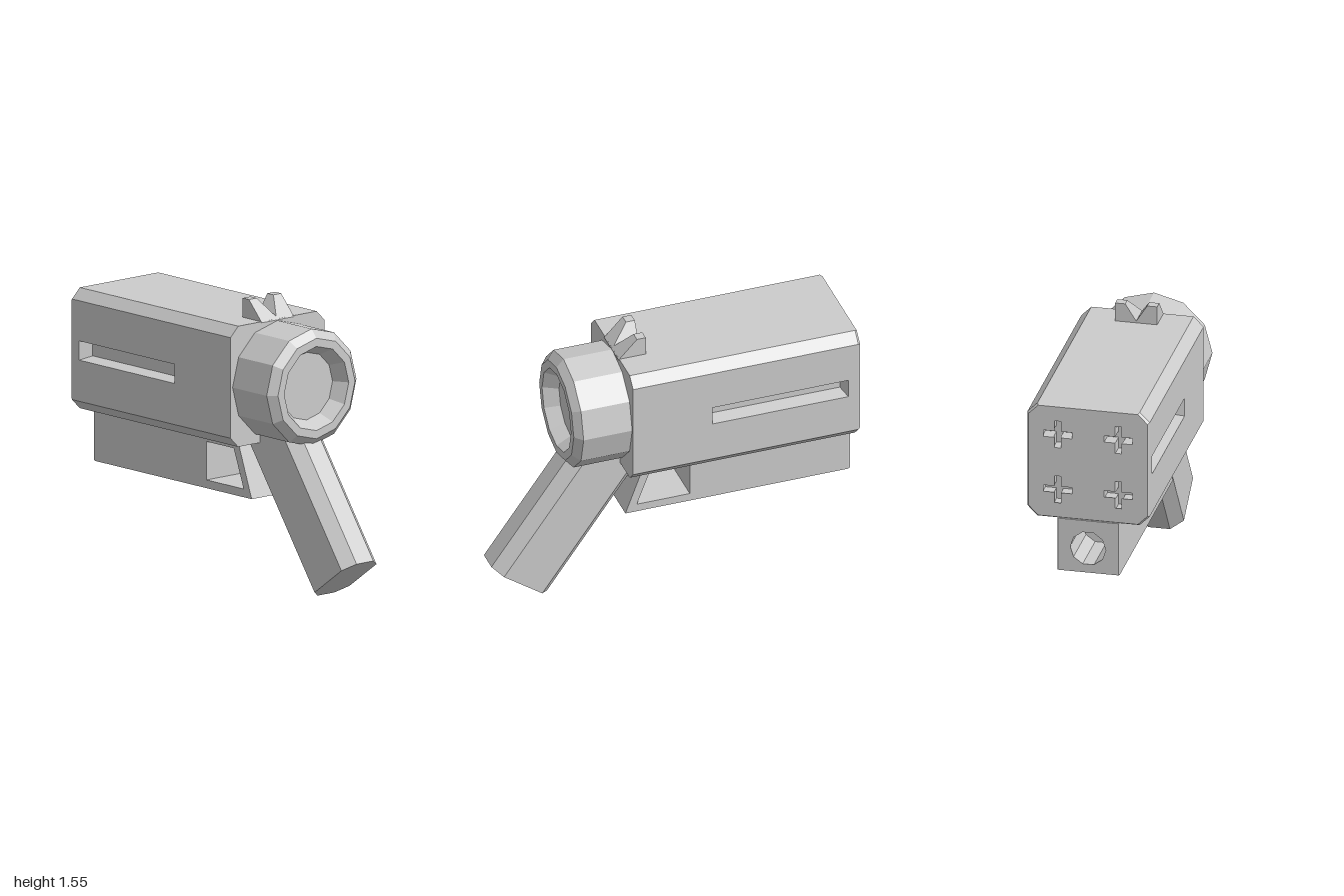
import * as THREE from 'three';

const material = new THREE.MeshStandardMaterial({ color: 0xcccccc, flatShading: true });
const AXIS_Y = 1.115; // height of the body and barrel axis

function polygon(points, Type = THREE.Shape) {
  return new Type(points.map(([x, y]) => new THREE.Vector2(x, y)));
}

function extrude(shape, depth) {
  return new THREE.ExtrudeGeometry(shape, { depth, bevelEnabled: false });
}

// Extrude a (z, y) cross-section from x0 to x1
function alongX(shape, x0, x1) {
  return extrude(shape, x1 - x0).rotateY(Math.PI / 2).translate(x0, 0, 0);
}

// Move vertices by a rule
function reshape(geometry, rule) {
  const p = geometry.attributes.position;
  const v = new THREE.Vector3();
  for (let i = 0; i < p.count; i++) {
    v.fromBufferAttribute(p, i);
    rule(v);
    p.setXYZ(i, v.x, v.y, v.z);
  }
  geometry.computeVertexNormals();
  return geometry;
}

// Shrink the rear face a little to form a narrow bevel
function bevelRear(geometry, centreY, amount) {
  return reshape(geometry, v => {
    if (v.x < -0.995) {
      v.z *= amount;
      v.y = centreY + (v.y - centreY) * amount;
    }
  });
}

// Right half of the chamfered body outline, optionally with the side slot
function bodyShape(slotted) {
  const half = [[0.28, 0.785], [0.335, 0.84]];
  if (slotted) half.push([0.335, 1.065], [0.255, 1.08], [0.255, 1.155], [0.335, 1.17]);
  half.push([0.335, 1.39], [0.28, 1.445]);
  const mirrored = half.map(([z, y]) => [-z, y]).reverse();
  return polygon([...half, ...mirrored]);
}

function plusHole(cx, cy) {
  const a = 0.08, b = 0.019;
  return polygon([[-b, -a], [b, -a], [b, -b], [a, -b], [a, b], [b, b],
    [b, a], [-b, a], [-b, b], [-a, b], [-a, -b], [-b, -b]]
    .map(([x, y]) => [cx + x, cy + y]), THREE.Path);
}

export function createModel() {
  const model = new THREE.Group();
  const add = (name, geometry, parent = model) => {
    const mesh = new THREE.Mesh(geometry, material);
    mesh.name = name;
    parent.add(mesh);
    return mesh;
  };

  // Body: rear plate with four plus-shaped recesses, slotted middle, solid front
  const body = new THREE.Group();
  body.name = 'body';
  model.add(body);
  const rear = bodyShape(false);
  for (const z of [-0.17, 0.17]) {
    for (const dy of [-0.165, 0.165]) rear.holes.push(plusHole(z, AXIS_Y + dy));
  }
  add('rearRim', bevelRear(alongX(rear, -1, -0.987), AXIS_Y, 0.975), body);
  add('rearPlate', alongX(rear, -0.987, -0.93), body);
  add('slottedSection', alongX(bodyShape(true), -0.93, -0.16), body);
  add('frontSection', alongX(bodyShape(false), -0.16, 0.29), body);

  // Sloped ends of the side slots
  for (const side of [1, -1]) {
    for (const [outer, inner] of [[-0.93, -0.91], [-0.16, -0.18]]) {
      const wedge = polygon([[outer, side * 0.335], [outer, side * 0.255], [inner, side * 0.255]]);
      add('slotEnd', extrude(wedge, 0.105).rotateX(Math.PI / 2).translate(0, 1.17, 0), body);
    }
  }

  // Barrel with chamfered muzzle and shallow tapered bore
  const profile = [[0, 0.27], [0.32, 0.27], [0.32, 0.565], [0.275, 0.605],
    [0.23, 0.605], [0.185, 0.525], [0, 0.525]];
  const barrel = new THREE.LatheGeometry(profile.map(([r, x]) => new THREE.Vector2(r, x)), 12);
  add('barrel', barrel.rotateZ(-Math.PI / 2).translate(0, AXIS_Y, 0));

  // Lower rail: rear block with a round socket, then the trigger guard
  const socket = polygon([[-0.17, 0.48], [0.17, 0.48], [0.17, 0.79], [-0.17, 0.79]]);
  const ring = [];
  for (let i = 0; i < 10; i++) {
    const a = (i / 10) * Math.PI * 2;
    ring.push([0.1 * Math.cos(a), 0.625 + 0.1 * Math.sin(a)]);
  }
  socket.holes.push(polygon(ring, THREE.Path));
  add('railRim', bevelRear(alongX(socket, -1, -0.987), 0.635, 0.975));
  add('railSocket', alongX(socket, -0.987, -0.7));
  const rail = polygon([[-0.7, 0.48], [0.275, 0.48], [0.16, 0.79], [-0.7, 0.79]]);
  rail.holes.push(polygon([[-0.09, 0.525], [-0.09, 0.735], [0.13, 0.735], [0.21, 0.525]], THREE.Path));
  add('triggerGuard', extrude(rail, 0.34).translate(0, 0, -0.17));

  // Slanted grip with chamfered corners
  const w = 0.193, d = 0.125;
  const gripShape = polygon([[-w, -0.06], [-w + 0.06, -d], [w - 0.06, -d], [w, -0.06],
    [w, 0.06], [w - 0.06, d], [-w + 0.06, d], [-w, 0.06]]);
  const grip = add('grip', extrude(gripShape, 0.98).rotateX(-Math.PI / 2));
  grip.position.set(0.8385, 0.116, 0);
  grip.rotation.z = THREE.MathUtils.degToRad(35.5);

  // Notched sight with a sloped front
  const sightShape = polygon([[-0.115, 1.44], [0.115, 1.44], [0.115, 1.55],
    [0.06, 1.55], [0, 1.455], [-0.06, 1.55], [-0.115, 1.55]]);
  add('sight', reshape(alongX(sightShape, 0.14, 0.29), v => {
    if (v.x > 0.2) v.x = 0.19 + (1.55 - v.y) * 0.95;
  }));

  return model;
}
